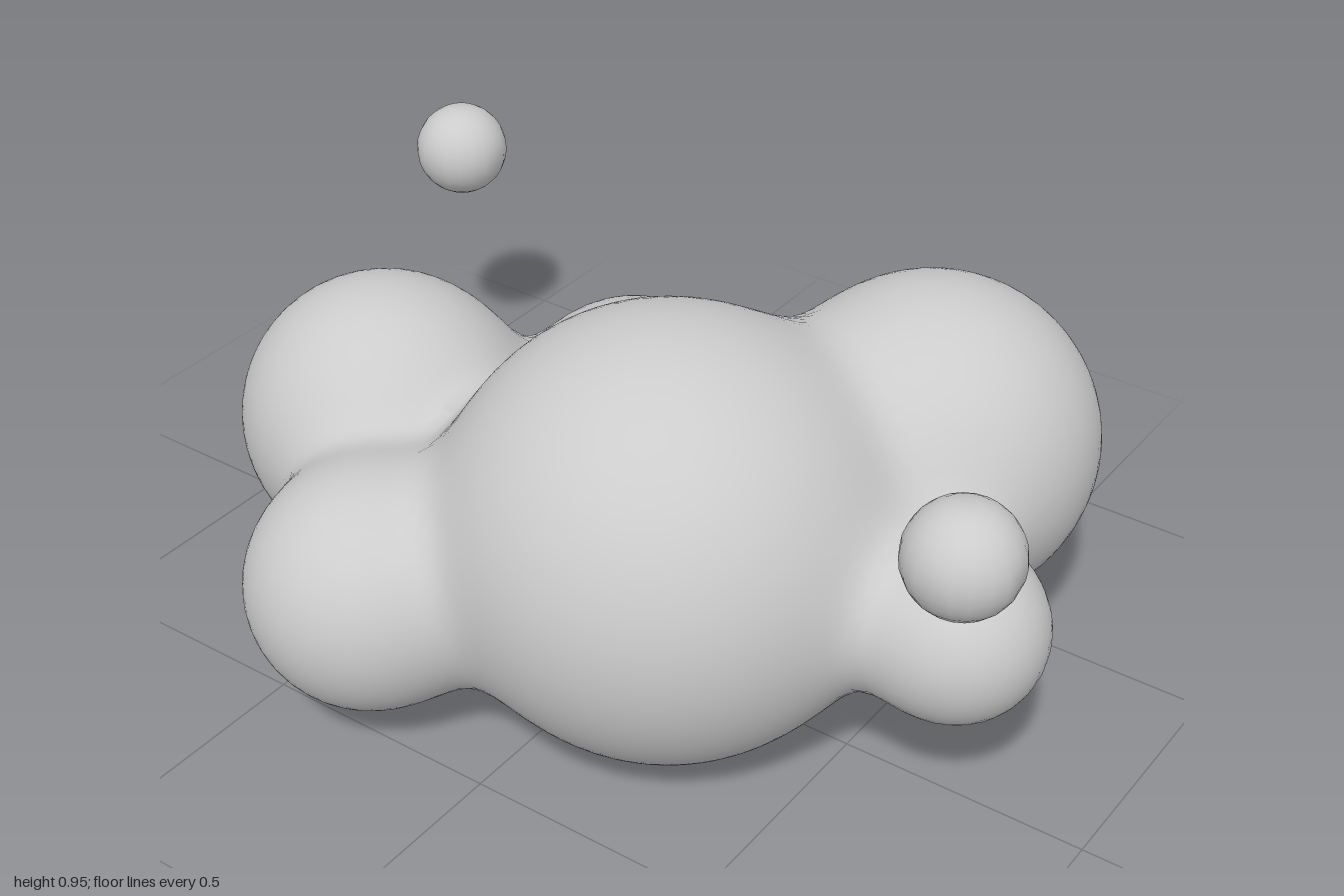
import * as THREE from 'three';

// Lobes of the main body: x, y, z, radius
const LOBES = [
  [-0.12, 0.44, 0.16, 0.433],  // core
  [0.36, 0.5, 0.44, 0.322],    // front left
  [-0.07, 0.4, -0.57, 0.29],   // back
  [-0.45, 0.32, -0.29, 0.238], // right
  [0.33, 0.32, -0.24, 0.238],  // left
  [-0.035, 0.41, 0.725, 0.167] // front nub
];
const DROPS = [[-0.395, 0.86, 0.9], [0.595, 0.625, -0.905]];
const BLEND = 0.055;

// Smooth union of the lobes: distance and gradient at a point
function field(x, y, z) {
  let sum = 0, gx = 0, gy = 0, gz = 0;
  for (const [cx, cy, cz, r] of LOBES) {
    const dx = x - cx, dy = y - cy, dz = z - cz;
    const len = Math.hypot(dx, dy, dz) || 1e-6;
    const w = Math.exp((r - len) / BLEND);
    sum += w;
    gx += w * dx / len;
    gy += w * dy / len;
    gz += w * dz / len;
  }
  return { d: -BLEND * Math.log(sum), g: [gx / sum, gy / sum, gz / sum] };
}

// Skin the blended lobes: one vertex per boundary cell, one quad per crossed grid edge
function blobGeometry(step) {
  const min = [-0.8, -0.1, -1], size = [1.6, 1.1, 2].map(s => Math.ceil(s / step));
  const stride = [1, size[0], size[0] * size[1]];
  const at = (i, j, k) => i + j * stride[1] + k * stride[2];
  const dist = new Float32Array(size[0] * size[1] * size[2]);
  for (let k = 0; k < size[2]; k++)
    for (let j = 0; j < size[1]; j++)
      for (let i = 0; i < size[0]; i++)
        dist[at(i, j, k)] = field(min[0] + i * step, min[1] + j * step, min[2] + k * step).d;

  const positions = [], normals = [], index = [], cells = new Map();
  // Vertex of a cell, pulled from the cell centre onto the surface
  function vertex(cell) {
    if (cells.has(cell)) return cells.get(cell);
    const ijk = [cell % size[0], Math.floor(cell / stride[1]) % size[1], Math.floor(cell / stride[2])];
    const p = ijk.map((n, a) => min[a] + (n + 0.5) * step);
    for (let n = 0; n < 4; n++) {
      const { d, g } = field(...p);
      const s = d / Math.max(0.2, g[0] * g[0] + g[1] * g[1] + g[2] * g[2]);
      for (let a = 0; a < 3; a++) p[a] -= s * g[a];
    }
    const normal = new THREE.Vector3(...field(...p).g).normalize();
    positions.push(...p);
    normals.push(normal.x, normal.y, normal.z);
    cells.set(cell, cells.size);
    return cells.size - 1;
  }

  for (let k = 1; k < size[2] - 1; k++)
    for (let j = 1; j < size[1] - 1; j++)
      for (let i = 1; i < size[0] - 1; i++) {
        const p = at(i, j, k), inside = dist[p] < 0;
        for (let a = 0; a < 3; a++) {
          if (inside === (dist[p + stride[a]] < 0)) continue;
          const b = stride[(a + 1) % 3], c = stride[(a + 2) % 3];
          const q = [p - b - c, p - c, p, p - b].map(vertex);
          if (!inside) q.reverse();
          index.push(q[0], q[1], q[2], q[0], q[2], q[3]);
        }
      }
  const geometry = new THREE.BufferGeometry();
  geometry.setAttribute('position', new THREE.Float32BufferAttribute(positions, 3));
  geometry.setAttribute('normal', new THREE.Float32BufferAttribute(normals, 3));
  geometry.setIndex(index);
  return geometry;
}

// Small ball, slightly flattened on its six sides
function dropGeometry() {
  const geometry = new THREE.SphereGeometry(0.1, 20, 14);
  const pos = geometry.attributes.position;
  const flat = v => THREE.MathUtils.clamp(v, -0.095, 0.095);
  for (let i = 0; i < pos.count; i++)
    pos.setXYZ(i, flat(pos.getX(i)), flat(pos.getY(i)), flat(pos.getZ(i)));
  return geometry;
}

export function createModel() {
  const group = new THREE.Group();
  group.name = 'blobCluster';
  const material = new THREE.MeshStandardMaterial({ color: 0xcccccc });

  const body = new THREE.Mesh(blobGeometry(0.03), material);
  body.name = 'blendedBody';
  group.add(body);

  // Detached droplets
  const drop = dropGeometry();
  DROPS.forEach((p, i) => {
    const mesh = new THREE.Mesh(drop, material);
    mesh.name = i === 0 ? 'frontDroplet' : 'backDroplet';
    mesh.position.set(...p);
    group.add(mesh);
  });
  return group;
}
